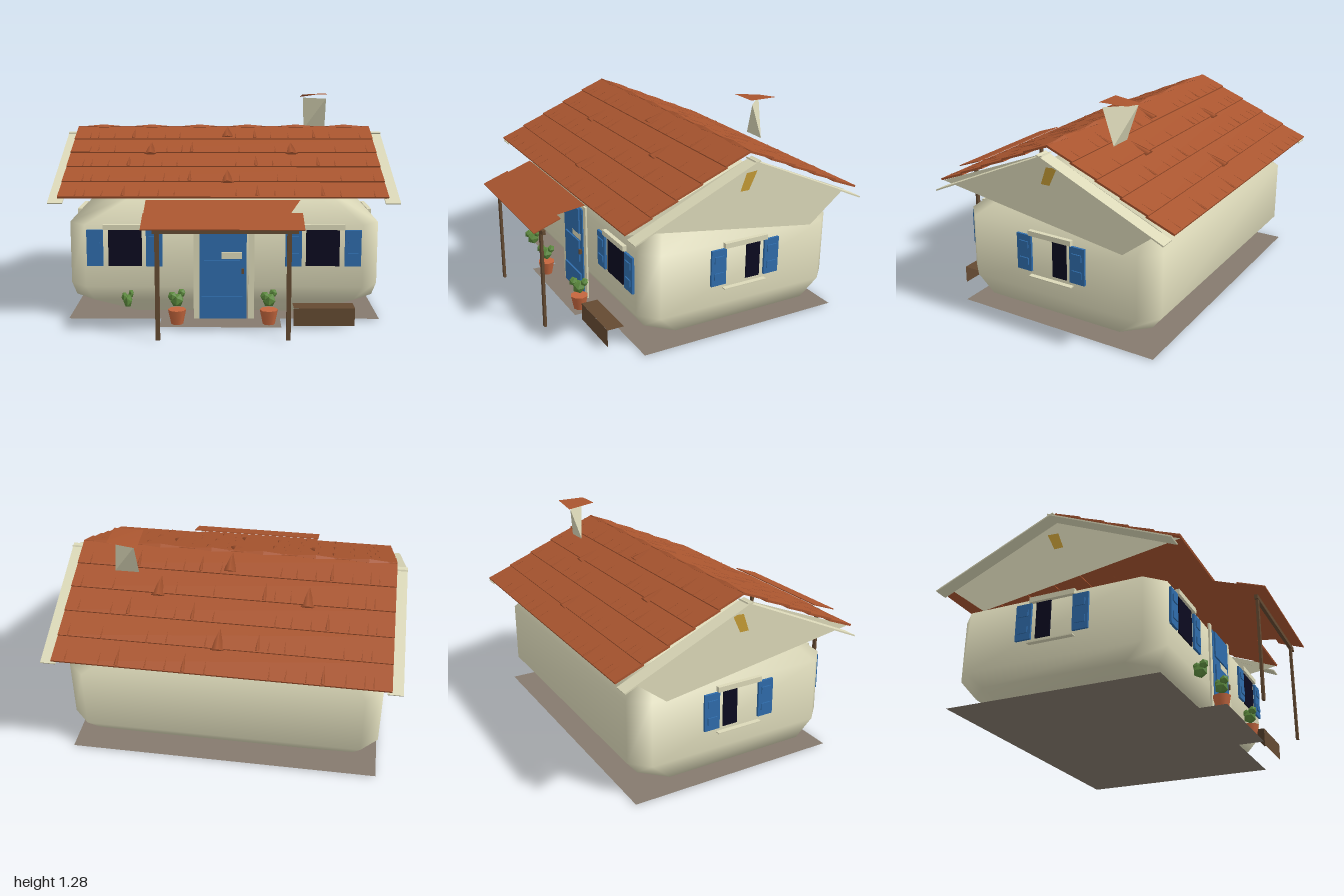
import * as THREE from 'three';
import { ConvexGeometry } from 'three/addons/geometries/ConvexGeometry.js';

const mat = (name, color, double) => {
  const m = new THREE.MeshStandardMaterial({ color });
  m.name = name;
  if (double) m.side = THREE.DoubleSide;
  return m;
};

export function createModel() {
  const M = {
    plaster: mat('plaster', 0xdbd8b8, true),
    tile: mat('roofTile', 0xa9552f, true),
    blue: mat('bluePaint', 0x2f6cab),
    glass: mat('darkGlass', 0x0b0a20),
    wood: mat('wood', 0x644a32, true),
    clay: mat('clay', 0xc4663d),
    leaf: mat('leaf', 0x5a873c),
    stone: mat('stone', 0x857a6e, true),
    brass: mat('yellowVent', 0xc39a35, true),
  };
  const house = new THREE.Group();
  house.name = 'house';

  const add = (parent, name, geo, m, x = 0, y = 0, z = 0) => {
    const mesh = new THREE.Mesh(geo, m);
    mesh.name = name;
    mesh.position.set(x, y, z);
    parent.add(mesh);
    return mesh;
  };
  const box = (parent, name, m, w, h, d, x, y, z) =>
    add(parent, name, new THREE.BoxGeometry(w, h, d), m, x, y, z);
  const group = (parent, name) => {
    const g = new THREE.Group();
    g.name = name;
    parent.add(g);
    return g;
  };
  const polygon = (pts) => new THREE.ShapeGeometry(new THREE.Shape(pts.map(p => new THREE.Vector2(...p))));
  const flat = (w, d) => new THREE.PlaneGeometry(w, d).rotateX(-Math.PI / 2);

  // Thin ground slab and door step
  add(house, 'floor', flat(1.83, 1.27), M.stone, 0, 0.006, -0.155);
  add(house, 'doorStep', flat(0.7, 0.16), M.stone, -0.02, 0.006, 0.56);

  // Softly rounded wall body: rings of y, half width, front z, back z, corner cut
  const rings = [
    [0.01, 0.6, 0.33, -0.62, 0.08], [0.1, 0.9, 0.41, -0.705, 0.13],
    [0.2, 0.91, 0.48, -0.785, 0.1], [0.57, 0.91, 0.48, -0.785, 0.1],
    [0.74, 0.6, 0.3, -0.6, 0.1], [0.77, 0.3, 0.05, -0.3, 0.05],
  ];
  const pos = [], idx = [];
  for (const [y, w, f, b, c] of rings) {
    const loop = [[-w + c, f], [w - c, f], [w, f - c], [w, b + c],
      [w - c, b], [-w + c, b], [-w, b + c], [-w, f - c]];
    for (const [x, z] of loop) pos.push(x, y, z);
  }
  for (let r = 0; r < rings.length - 1; r++) {
    for (let i = 0; i < 8; i++) {
      const a = r * 8 + i, b = r * 8 + (i + 1) % 8;
      idx.push(a, b, b + 8, a, b + 8, a + 8);
    }
  }
  const top = (rings.length - 1) * 8;
  for (let i = 1; i < 7; i++) idx.push(top, top + i, top + i + 1);
  const body = new THREE.BufferGeometry();
  body.setAttribute('position', new THREE.Float32BufferAttribute(pos, 3));
  body.setIndex(idx);
  body.computeVertexNormals();
  add(house, 'walls', body, M.plaster);

  // Gables with a small slanted vent; shape x is -z of the model
  for (const s of [-1, 1]) {
    const side = s < 0 ? 'right' : 'left';
    const gable = add(house, side + 'Gable',
      polygon([[-0.6, 0.745], [0.6, 0.565], [0.83, 0.745], [0.15, 1.045]]), M.plaster, s * 0.915);
    gable.rotation.y = Math.PI / 2;
    const vent = add(house, side + 'Vent',
      polygon([[0.1, 0.86], [0.155, 0.86], [0.205, 0.965], [0.135, 0.96]]), M.brass, s * 0.921);
    vent.rotation.y = Math.PI / 2;
  }

  // Main roof: five overlapping tile rows per slope, with low raised tile edges
  const slope = Math.atan(0.447), rowLen = 0.164;
  const finXs = [-0.84, -0.79, -0.69, -0.48, -0.37, -0.28, 0.07, 0.29, 0.4, 0.66, 0.85];
  const spike = (r, len, flatness) =>
    new THREE.ConeGeometry(r, len, 4).rotateX(-Math.PI / 2).scale(1, flatness, 1);
  const roof = group(house, 'roof');
  for (const s of [1, -1]) {
    const half = group(roof, s > 0 ? 'frontSlope' : 'backSlope');
    half.position.set(0, 1.085, -0.15);
    half.rotation.y = s > 0 ? 0 : Math.PI;
    const plane = group(half, 'slopePlane');
    plane.rotation.x = slope;
    for (let i = 0; i < 5; i++) {
      const z = (i + 0.5) * rowLen;
      const row = box(plane, 'tileRow', M.tile, 1.865, 0.012, rowLen + 0.01, -0.005 * s, 0, z);
      row.rotation.x = -0.05;
      const wide = i % 2 ? [-0.2] : [-0.57, 0.19, 0.56];
      for (const x of wide) add(plane, 'tileEdge', spike(0.013, 0.12, 0.4), M.tile, x * s, 0.009, z + 0.02);
      for (const x of finXs) {
        add(plane, 'tileEdge', spike(0.005, 0.08, 0.8), M.tile, (x + (i % 2) * 0.02) * s, 0.009, z + 0.04);
      }
    }
    // A few lifted tiles
    for (const [x, z] of [[0.02, 0.08], [-0.45, 0.28], [0.41, 0.28], [0.02, 0.6]]) {
      add(plane, 'liftedTile', spike(0.04, 0.14, 0.3), M.tile, x * s, 0.008, z);
    }
    // Plaster verge strips beyond the tiles
    for (const x of [-0.957, 0.957]) box(plane, 'verge', M.plaster, 0.086, 0.008, 0.822, x, -0.04, 0.409);
  }
  // Ridge caps
  for (let i = 0; i < 6; i++) {
    const ridge = add(roof, 'ridgeCap', new THREE.OctahedronGeometry(1), M.tile, -0.775 + i * 0.308, 1.086, -0.15);
    ridge.scale.set(0.155, 0.014, 0.022);
  }

  // Chimney: twisted wedge from a diagonal top edge to a straight bottom edge
  const stack = [[-0.07, 1.255, -0.07], [0.07, 1.255, 0.07], [-0.07, 1.05, 0], [0.07, 1.05, 0]];
  add(house, 'chimney', new ConvexGeometry(stack.map(p => new THREE.Vector3(...p))), M.plaster, 0.6, 0, -0.4);
  // Thin cap folded down at one corner
  const capGeo = flat(0.17, 0.17);
  capGeo.attributes.position.setY(0, -0.024);
  capGeo.computeVertexNormals();
  add(house, 'chimneyCap', capGeo, M.tile, 0.595, 1.283, -0.4);

  // Porch: two tile rows, beam and posts
  const porch = group(house, 'porch');
  const upper = add(porch, 'upperPorchTiles',
    polygon([[-0.44, 0], [0.43, 0], [0.36, -0.165], [-0.44, -0.165]]), M.tile, 0, 0.738, 0.6);
  upper.rotation.x = -Math.PI / 2 + 0.35;
  const lower = box(porch, 'lowerPorchTiles', M.tile, 0.875, 0.006, 0.17, -0.005, 0.66, 0.83);
  lower.rotation.x = 0.35;
  box(porch, 'beam', M.wood, 0.79, 0.025, 0.02, 0.01, 0.61, 0.84);
  for (const x of [-0.36, 0.355]) box(porch, 'post', M.wood, 0.025, 0.6, 0.015, x, 0.3, 0.84);

  // Door with raised panels, side jambs and handle
  const door = group(house, 'door');
  box(door, 'doorLeaf', M.blue, 0.275, 0.57, 0.012, -0.005, 0.295, 0.488);
  for (const [y, h, w] of [[0.08, 0.13, 0.24], [0.295, 0.14, 0.21], [0.495, 0.16, 0.22]]) {
    box(door, 'doorPanel', M.blue, w, h, 0.016, -0.01, y, 0.496);
  }
  box(door, 'doorPane', M.plaster, 0.12, 0.04, 0.006, 0.045, 0.392, 0.494);
  box(door, 'handle', M.wood, 0.015, 0.03, 0.02, 0.11, 0.3, 0.5);
  for (const s of [-1, 1]) box(door, 'jamb', M.plaster, 0.035, 0.6, 0.012, s * 0.16, 0.31, 0.485);

  // Windows, built facing +z; the pane and both shutters can be offset
  const makeWindow = (name, paneX, paneW, shutters, lintelX, lintelW) => {
    const g = group(house, name);
    box(g, 'pane', M.glass, paneW, 0.215, 0.008, paneX, 0.435, 0.004);
    for (const x of shutters) {
      box(g, 'shutter', M.blue, 0.095, 0.215, 0.014, x, 0.435, 0.008);
      for (const y of [0.385, 0.485]) box(g, 'slat', M.blue, 0.06, 0.04, 0.012, x, y, 0.016);
    }
    box(g, 'lintel', M.plaster, lintelW, 0.03, 0.025, lintelX, 0.56, 0.01);
    return g;
  };
  for (const s of [-1, 1]) {
    const front = makeWindow('frontWindow', s * 0.575, 0.195, [s * 0.75, s * 0.405], s * 0.57, 0.26);
    front.position.z = 0.482;
    const side = makeWindow('sideWindow', s * 0.205, 0.09, [-s * 0.025, s * 0.325], s * 0.15, 0.28);
    side.position.x = s * 0.912;
    side.rotation.y = s * Math.PI / 2;
    box(side, 'sill', M.plaster, 0.28, 0.006, 0.03, s * 0.15, 0.3, 0.012);
  }

  // Potted plants, a slim wall plant and a wooden bench
  const plant = (parent, x, y, z, wide) => {
    for (const [dx, dy, dz, r] of [[0, 0, 0, 0.042], [-0.025, 0.03, 0.025, 0.028], [0.025, 0.035, -0.025, 0.025]]) {
      const leaves = add(parent, 'leaves', new THREE.IcosahedronGeometry(r, 0), M.leaf, x + dx * wide, y + dy, z + dz);
      leaves.scale.x = wide;
    }
  };
  for (const x of [-0.27, 0.26]) {
    const g = group(house, 'pottedPlant');
    add(g, 'pot', new THREE.CylinderGeometry(0.053, 0.035, 0.085, 8), M.clay, x, 0.052, 0.58);
    plant(g, x, 0.15, 0.58, 1);
  }
  plant(group(house, 'wallPlant'), -0.555, 0.14, 0.56, 0.65);
  add(house, 'benchTop', flat(0.35, 0.1), M.wood, 0.575, 0.115, 0.575);
  add(house, 'benchFront', new THREE.PlaneGeometry(0.35, 0.105), M.wood, 0.575, 0.062, 0.625);

  return house;
}
